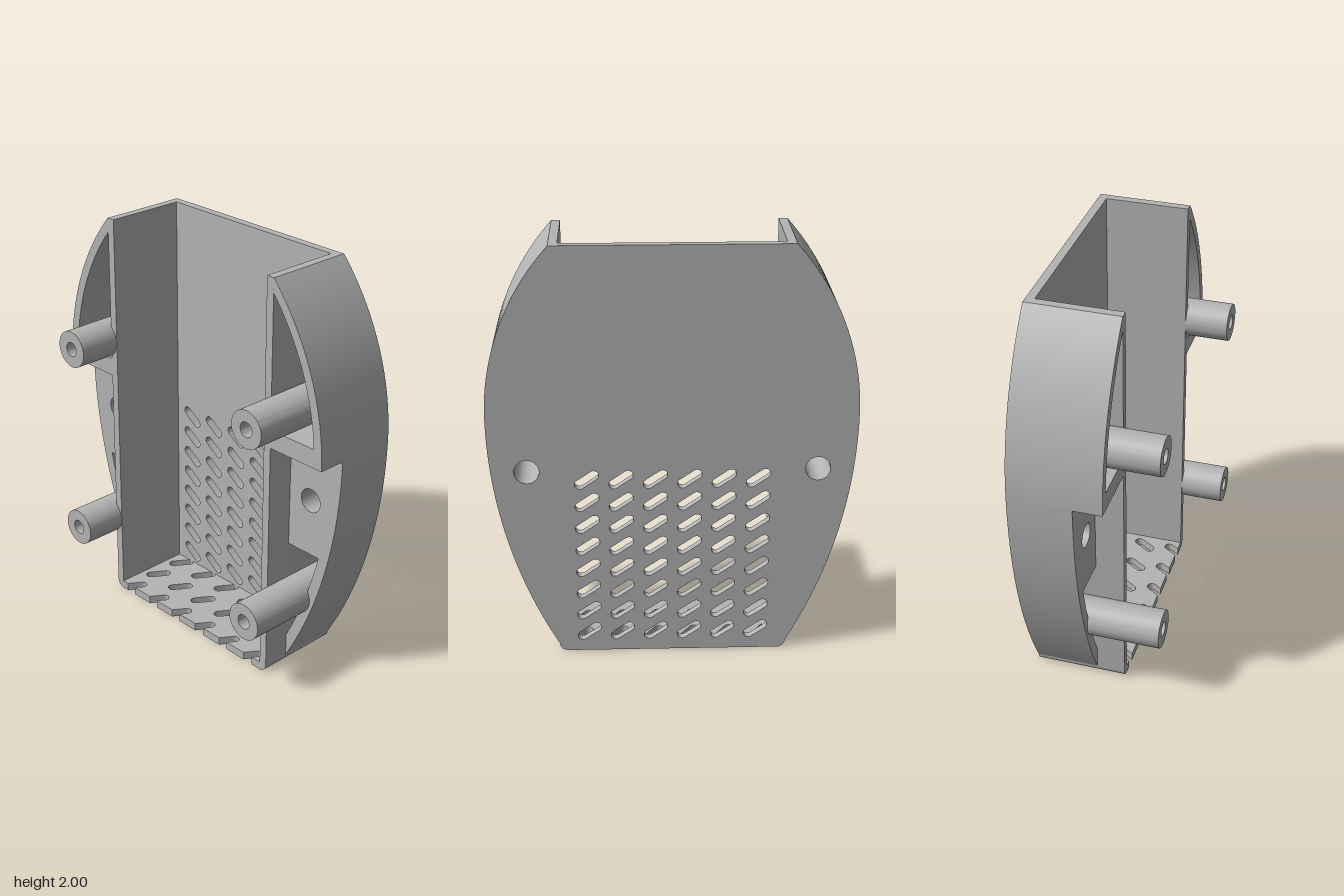
import * as THREE from 'three';
import { toCreasedNormals } from 'three/addons/utils/BufferGeometryUtils.js';

const BACK = -0.32, PLATE = -0.28, STEP = -0.02, RIM = 0.115, TIP = 0.32;
const IN = 0.5, OUT = 0.54, WAIST = 1.2, BELLY = 0.847;
// side outline: two arcs meeting at the waist
const UP = { cx: BELLY - 1.196, r: 1.196 };
const LOW = { cx: BELLY - 2.35, r: 2.35 };

// points of an arc centred on waist height, between two heights
function arc(cx, r, y0, y1, n = 28) {
  const a0 = Math.asin((y0 - WAIST) / r), a1 = Math.asin((y1 - WAIST) / r);
  return Array.from({ length: n + 1 }, (_, i) => {
    const a = a0 + (a1 - a0) * i / n;
    return new THREE.Vector2(cx + r * Math.cos(a), WAIST + r * Math.sin(a));
  });
}
const P = (x, y) => new THREE.Vector2(x, y);
const flip = (pts) => pts.map((p) => P(-p.x, p.y));

// rounded bottom corner, from the underside up to the wall
const corner = Array.from({ length: 9 }, (_, i) => {
  const a = -Math.PI / 2 + i * Math.PI / 16;
  return P(IN + 0.04 * Math.cos(a), 0.04 + 0.04 * Math.sin(a));
});

function circle(x, y, r) {
  return new THREE.Path().absarc(x, y, r, 0, Math.PI * 2, true);
}

// slanted slot with round ends
function slot(x, y, angle, half = 0.04, r = 0.023) {
  const dx = Math.cos(angle) * half, dy = Math.sin(angle) * half;
  const path = new THREE.Path();
  path.absarc(x + dx, y + dy, r, angle - Math.PI / 2, angle + Math.PI / 2, false);
  path.absarc(x - dx, y - dy, r, angle + Math.PI / 2, angle + Math.PI * 1.5, false);
  path.closePath();
  return path;
}

function extrude(shape, z0, z1, segments = 12) {
  const g = new THREE.ExtrudeGeometry(shape, { depth: z1 - z0, bevelEnabled: false, curveSegments: segments });
  g.translate(0, 0, z0);
  return toCreasedNormals(g, 0.5);
}

export function createModel() {
  const group = new THREE.Group();
  const grey = new THREE.MeshStandardMaterial({ color: 0xb4b4b4 });
  grey.name = 'grey plastic';
  const add = (name, geometry) => {
    const mesh = new THREE.Mesh(geometry, grey);
    mesh.name = name;
    group.add(mesh);
  };

  // back plate with vent slots and two through holes
  const side = [...corner, ...arc(LOW.cx, LOW.r, 0.045, WAIST), ...arc(UP.cx, UP.r, WAIST, 2).slice(1)];
  const plate = new THREE.Shape([...side, ...flip(side).reverse()]);
  for (let c = 0; c < 6; c++)
    for (let r = 0; r < 8; r++)
      plate.holes.push(slot(-0.395 + c * 0.158, 0.102 + r * 0.113, -0.6));
  for (const s of [-1, 1]) plate.holes.push(circle(s * 0.668, 0.937, 0.058));
  add('backPlate', extrude(plate, BACK, PLATE));

  // floor, drawn as x and -z, with the front row of slots cut open by the rim
  const tilt = 0.99, dx = Math.cos(tilt), dz = Math.sin(tilt), rad = 0.023;
  const slotX = (c) => -0.428 + c * 0.171;
  const floor = new THREE.Shape();
  floor.moveTo(-IN, -RIM);
  for (let c = 0; c < 6; c++) {
    const ex = slotX(c) + dx * 0.04, ey = -0.1 + dz * 0.04;
    const meet = (s) => {
      const px = ex - s * dz * rad, py = ey + s * dx * rad;
      return px - (py + RIM) * dx / dz;
    };
    floor.lineTo(meet(1), -RIM);
    floor.absarc(ex, ey, rad, tilt + Math.PI / 2, tilt - Math.PI / 2, true);
    floor.lineTo(meet(-1), -RIM);
  }
  floor.lineTo(IN, -RIM);
  floor.lineTo(IN, -PLATE);
  floor.lineTo(-IN, -PLATE);
  floor.closePath();
  for (let c = 0; c < 6; c++)
    for (const z of [-0.227, -0.064]) floor.holes.push(slot(slotX(c), -z, tilt));
  add('floor', extrude(floor, 0, 0.04).rotateX(-Math.PI / 2));

  // inner wall, pocketed wings
  const wall = [...corner, P(OUT, 2), P(IN, 2)];
  const upper = [P(OUT, WAIST), ...arc(UP.cx, UP.r, WAIST, 2),
    ...arc(UP.cx, UP.r - 0.045, 1.931, 1.29), P(OUT, 1.29)];
  const lower = [...arc(LOW.cx, LOW.r, 0.042, WAIST), P(OUT, WAIST), P(OUT, 0.66),
    ...arc(LOW.cx, LOW.r - 0.055, 0.66, 0.155)];

  for (const s of [1, -1]) {
    const name = s > 0 ? 'left' : 'right';
    const shape = (pts) => new THREE.Shape(s > 0 ? pts : flip(pts).reverse());
    add(name + 'InnerWall', extrude(shape(wall), PLATE, RIM));
    add(name + 'UpperWing', extrude(shape(upper), PLATE, RIM));
    const low = shape(lower);
    low.holes.push(circle(s * 0.668, 0.937, 0.058));
    add(name + 'LowerWing', extrude(low, PLATE, STEP));

    // hollow screw posts
    for (const [part, y] of [['UpperPost', 1.38], ['LowerPost', 0.406]]) {
      const ring = new THREE.Shape().absarc(s * 0.592, y, 0.091, 0, Math.PI * 2, false);
      ring.holes.push(circle(s * 0.592, y, 0.036));
      add(name + part, extrude(ring, PLATE, TIP, 32));
    }
  }
  return group;
}
